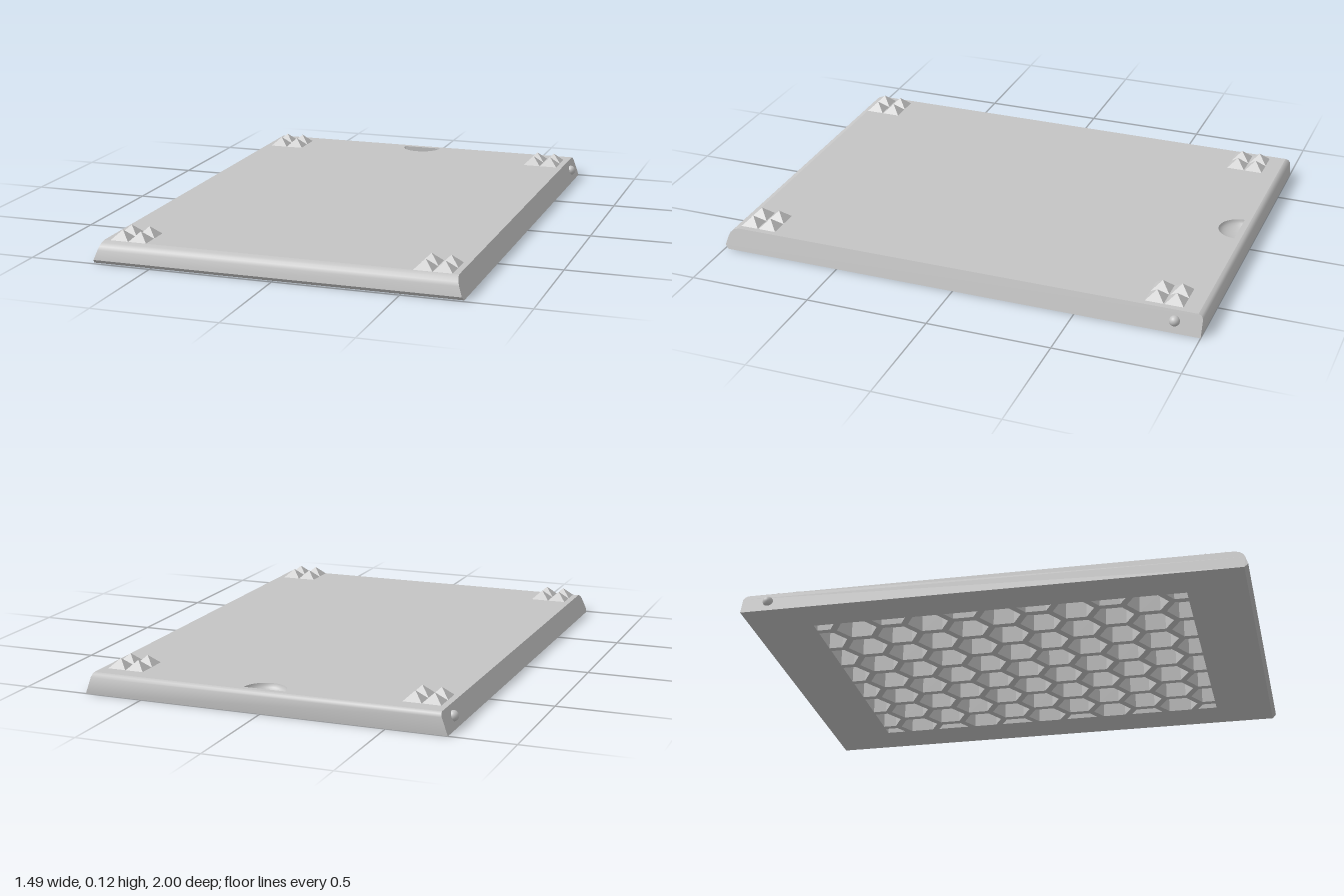
import * as THREE from 'three';
import { mergeGeometries, toCreasedNormals } from 'three/addons/utils/BufferGeometryUtils.js';

const TOP = 0.085, POCKET = 0.07;
const AREA_X = 0.57, AREA_Z = 0.75;             // honeycomb field half sizes
const PITCH = 0.17, HEX_R = 0.143 / Math.sqrt(3);
const NOTCH = { r: 0.085, z: -0.955, depth: 0.04 };

// half width of the slab, tapering upwards
const halfWidth = (y) => 0.74 - 0.03 * (y / TOP);

// side profile as [z, y], from the front bottom edge over the top to the back
const profile = [
  [0.985, 0], [1, 0.015], [0.99, 0.052], [0.983, 0.067], [0.97, 0.079], [0.95, TOP],
  [-0.98, TOP], [-0.993, 0.08], [-1, 0.068], [-1, 0],
];

// triangles from a list of quads, each quad four [x, y, z] corners
function quadGeometry(quads) {
  const p = [];
  for (const [a, b, c, d] of quads) p.push(...a, ...b, ...c, ...a, ...c, ...d);
  const g = new THREE.BufferGeometry();
  g.setAttribute('position', new THREE.Float32BufferAttribute(p, 3));
  g.computeVertexNormals();
  return g;
}

// keep the part of a polygon inside the honeycomb field
function clip(poly) {
  for (const [axis, sign, limit] of [['x', 1, AREA_X], ['x', -1, AREA_X], ['y', 1, AREA_Z], ['y', -1, AREA_Z]]) {
    const out = [];
    poly.forEach((a, i) => {
      const b = poly[(i + 1) % poly.length];
      const da = limit - sign * a[axis], db = limit - sign * b[axis];
      if (da >= 0) out.push(a);
      if (da * db < 0) out.push(a.clone().lerp(b, da / (da - db)));
    });
    poly = out;
  }
  return poly;
}

// staggered hexagons, in the x, z plane
function honeycomb() {
  const cells = [], rowStep = PITCH * Math.sqrt(3) / 2;
  for (let row = -6; row <= 6; row++) {
    for (let col = -5; col <= 5; col++) {
      const cx = (col + (row % 2 ? 0.5 : 0)) * PITCH, cz = row * rowStep;
      const hex = [];
      for (let i = 0; i < 6; i++) {
        const t = Math.PI / 6 + i * Math.PI / 3;
        hex.push(new THREE.Vector2(cx + HEX_R * Math.cos(t), cz + HEX_R * Math.sin(t)));
      }
      const cell = clip(hex);
      if (cell.length > 2 && Math.abs(THREE.ShapeUtils.area(cell)) > 1e-4) cells.push(cell);
    }
  }
  return cells;
}

const rectangle = (w, v0, v1) => new THREE.Shape(
  [[-w, v0], [w, v0], [w, v1], [-w, v1]].map(([x, y]) => new THREE.Vector2(x, y)));

export function createModel() {
  const model = new THREE.Group();
  const grey = new THREE.MeshStandardMaterial({ color: 0xc4c4c4 });
  const add = (name, geometry, parent = model) => {
    const mesh = new THREE.Mesh(geometry, grey);
    mesh.name = name;
    parent.add(mesh);
    return mesh;
  };

  // front and back edges, skipping the flat top
  const strips = [];
  for (let i = 0; i < profile.length - 1; i++) {
    const [za, ya] = profile[i], [zb, yb] = profile[i + 1];
    if (ya === TOP && yb === TOP) continue;
    const wa = halfWidth(ya), wb = halfWidth(yb);
    strips.push([[-wa, ya, za], [wa, ya, za], [wb, yb, zb], [-wb, yb, zb]]);
  }
  add('frontAndBackEdges', toCreasedNormals(quadGeometry(strips), 0.7));

  // sloping sides
  for (const side of [1, -1]) {
    const g = new THREE.ShapeGeometry(new THREE.Shape(
      profile.map(([z, y]) => new THREE.Vector2(-side * z, y))));
    const p = g.attributes.position;
    for (let i = 0; i < p.count; i++) {
      const u = p.getX(i), y = p.getY(i);
      p.setXYZ(i, side * halfWidth(y), y, -side * u);
    }
    g.computeVertexNormals();
    add(side > 0 ? 'leftSide' : 'rightSide', g);
  }

  // top panel with the half-round finger notch cut out
  const topShape = rectangle(halfWidth(TOP), -0.95, 0.98);
  const cut = new THREE.Path();
  cut.absarc(0, -NOTCH.z, NOTCH.r, Math.PI, 2 * Math.PI);
  topShape.holes.push(cut);
  add('topPanel', new THREE.ShapeGeometry(topShape, 20).rotateX(-Math.PI / 2).translate(0, TOP, 0));

  // finger notch: quarter bowl and upright back wall
  const notch = new THREE.Group();
  notch.name = 'fingerNotch';
  notch.position.set(0, TOP, NOTCH.z);
  model.add(notch);
  const bowl = new THREE.SphereGeometry(NOTCH.r, 20, 8, 0, Math.PI, Math.PI / 2, Math.PI / 2);
  bowl.scale(-1, NOTCH.depth / NOTCH.r, 1);   // mirrored so it faces inwards
  bowl.computeVertexNormals();
  add('notchBowl', bowl, notch);
  const wall = new THREE.Shape();
  wall.absellipse(0, 0, NOTCH.r, NOTCH.depth, Math.PI, 2 * Math.PI);
  add('notchWall', new THREE.ShapeGeometry(wall, 16), notch);

  // underside with honeycomb pockets
  const cells = honeycomb();
  const underShape = rectangle(halfWidth(0), -1, 0.985);
  for (const cell of cells) underShape.holes.push(new THREE.Path(cell));
  add('underside', new THREE.ShapeGeometry(underShape).rotateX(Math.PI / 2));
  const pocketWalls = [];
  for (const cell of cells) {
    cell.forEach((a, i) => {
      const b = cell[(i + 1) % cell.length];
      pocketWalls.push([[a.x, 0, a.y], [b.x, 0, b.y], [b.x, POCKET, b.y], [a.x, POCKET, a.y]]);
    });
  }
  add('pocketWalls', quadGeometry(pocketWalls));
  add('pocketFloor', new THREE.PlaneGeometry(2 * AREA_X, 2 * AREA_Z)
    .rotateX(Math.PI / 2).translate(0, POCKET, 0));

  // pyramid studs, two by two in each corner
  const pyramid = new THREE.ConeGeometry(0.037 * Math.SQRT2, 0.036, 4, 1, true)
    .rotateY(Math.PI / 4).toNonIndexed();
  pyramid.computeVertexNormals();
  for (const side of [1, -1]) {
    for (const [end, z] of [['front', 0.873], ['back', -0.839]]) {
      const studs = [];
      for (const dx of [-0.038, 0.038]) {
        for (const dz of [-0.039, 0.039]) {
          studs.push(pyramid.clone().translate(side * 0.61 + dx, TOP + 0.018, z + dz));
        }
      }
      add(`${end}${side > 0 ? 'Left' : 'Right'}Studs`, mergeGeometries(studs));
    }
  }

  // round hinge pins on the sides
  for (const side of [1, -1]) {
    add(side > 0 ? 'leftPin' : 'rightPin', new THREE.SphereGeometry(0.021, 20, 14))
      .position.set(side * 0.725, 0.045, -0.893);
  }
  return model;
}
